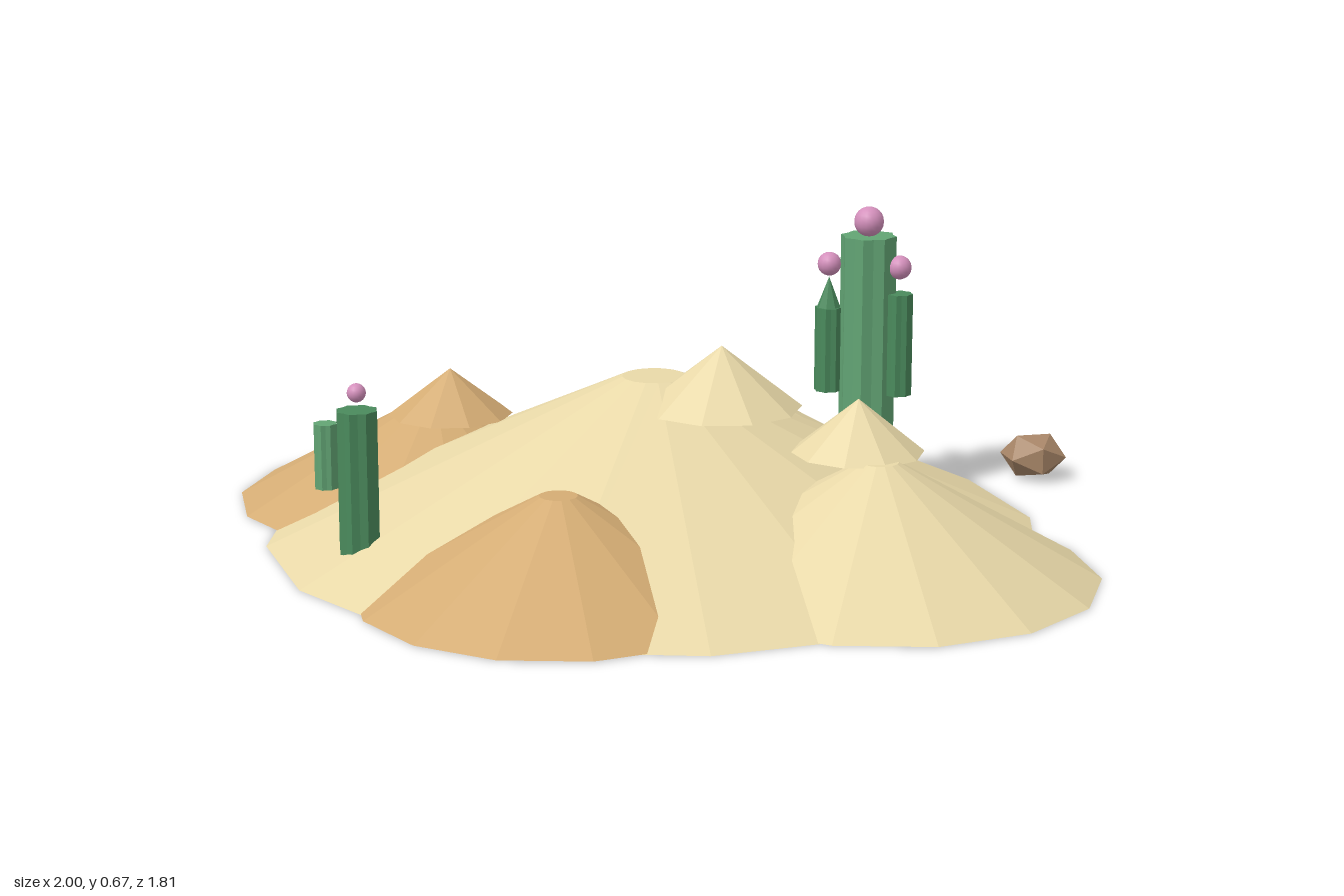
import * as THREE from 'three';

const material = (color, flatShading = true) => new THREE.MeshStandardMaterial({ color, flatShading });
const sand = material(0xe8d8a8);
const clay = material(0xd4ac74);
const paleGreen = material(0x62a474);
const deepGreen = material(0x4a8a5c);
const pink = material(0xd490bc, false);
const stone = material(0xa88668);

function add(parent, name, geometry, mat, x, y, z) {
  const mesh = new THREE.Mesh(geometry, mat);
  mesh.name = name;
  mesh.position.set(x, y, z);
  parent.add(mesh);
  return mesh;
}

// Tapered solid standing between two heights
function taper(parent, name, mat, x, z, rTop, rBottom, y0, y1, sides) {
  const geometry = new THREE.CylinderGeometry(rTop, rBottom, y1 - y0, sides);
  return add(parent, name, geometry, mat, x, (y0 + y1) / 2, z);
}

// Ribbed cactus column: every other corner is pulled inward
function column(parent, name, mat, x, z, r, y0, y1) {
  const shape = new THREE.Shape();
  for (let i = 0; i < 16; i++) {
    const a = (i / 16) * Math.PI * 2;
    const d = i % 2 ? r * 0.87 : r;
    shape[i ? 'lineTo' : 'moveTo'](Math.cos(a) * d, Math.sin(a) * d);
  }
  const geometry = new THREE.ExtrudeGeometry(shape, { depth: y1 - y0, bevelEnabled: false });
  geometry.rotateX(-Math.PI / 2);
  return add(parent, name, geometry, mat, x, y0, z);
}

function flower(parent, x, y, z, r) {
  return add(parent, 'flower', new THREE.SphereGeometry(r, 16, 12), pink, x, y, z);
}

export function createModel() {
  const model = new THREE.Group();
  model.name = 'desertDunes';

  // Large dune with four smaller ones around its edge
  taper(model, 'mainDune', sand, 0, -0.02, 0.07, 0.85, 0, 0.355, 16);
  const sideDunes = [
    ['backDune', sand, 0.07, -0.48, 0.425, 0.22],
    ['frontDune', clay, -0.07, 0.475, 0.425, 0.215],
    ['rightDune', clay, -0.56, -0.175, 0.45, 0.225],
    ['leftDune', sand, 0.54, 0.175, 0.47, 0.25],
  ];
  for (const [name, mat, x, z, r, h] of sideDunes) {
    taper(model, name, mat, x, z, 0.04, r, 0.001, h, 14);
  }

  // Small pointed crests resting on the slopes
  const crests = [
    ['mainCrest', sand, 0.16, 0.015, 0.175, 0.305, 0.44],
    ['leftCrest', sand, 0.475, 0.085, 0.142, 0.245, 0.36],
    ['rightCrest', clay, -0.505, -0.125, 0.14, 0.21, 0.315],
  ];
  for (const [name, mat, x, z, r, y0, y1] of crests) {
    taper(model, name, mat, x, z, 0, r, y0, y1, 10);
  }

  // Tall cactus with two arms, one of them pointed
  const tall = new THREE.Group();
  tall.name = 'tallCactus';
  column(tall, 'trunk', paleGreen, 0.388, -0.445, 0.064, 0.09, 0.605);
  column(tall, 'leftArm', deepGreen, 0.46, -0.445, 0.032, 0.24, 0.475);
  column(tall, 'rightArm', deepGreen, 0.298, -0.445, 0.032, 0.24, 0.435);
  taper(tall, 'armTip', deepGreen, 0.298, -0.445, 0, 0.027, 0.435, 0.505, 8);
  flower(tall, 0.388, 0.637, -0.445, 0.034);
  flower(tall, 0.46, 0.535, -0.445, 0.027);
  flower(tall, 0.298, 0.535, -0.445, 0.027);
  model.add(tall);

  // Short cactus with one arm
  const short = new THREE.Group();
  short.name = 'shortCactus';
  column(short, 'trunk', deepGreen, -0.517, 0.443, 0.045, 0.05, 0.358);
  column(short, 'arm', paleGreen, -0.588, 0.443, 0.026, 0.185, 0.325);
  flower(short, -0.517, 0.395, 0.443, 0.02);
  model.add(short);

  // Flattened rocks
  for (const [x, y, z, r, turn] of [[0.742, 0.055, -0.68, 0.078, 0.5], [-0.727, 0.045, -0.605, 0.061, 1.1]]) {
    const rock = add(model, 'rock', new THREE.IcosahedronGeometry(r, 0), stone, x, y, z);
    rock.scale.y = 0.73;
    rock.rotation.y = turn;
  }

  return model;
}
